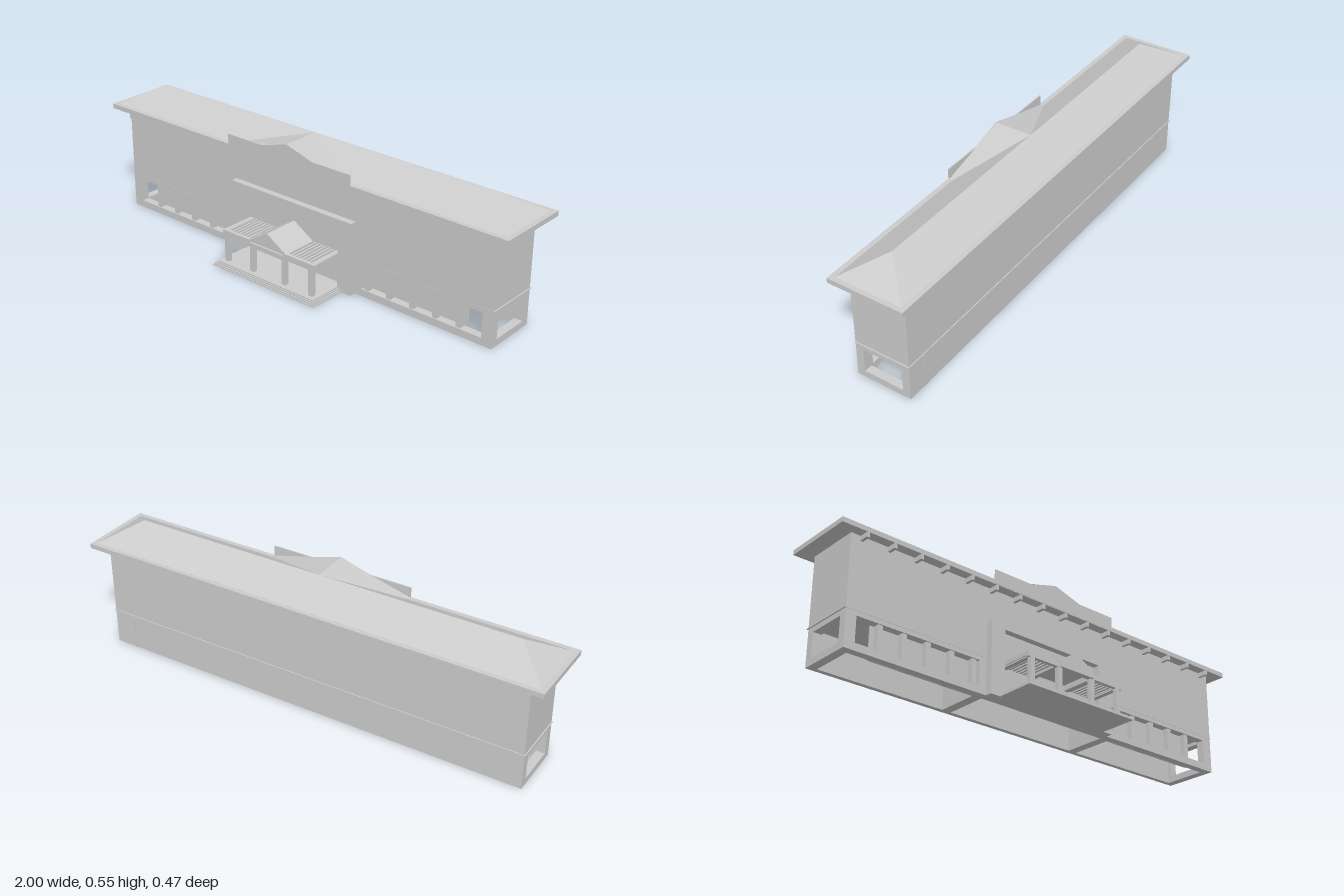
import * as THREE from 'three';

const mat = new THREE.MeshStandardMaterial({ color: 0xcccccc, flatShading: true, side: THREE.DoubleSide });

export function createModel() {
  const root = new THREE.Group();
  root.name = 'building';

  const add = (name, geo) => {
    const m = new THREE.Mesh(geo, mat);
    m.name = name;
    root.add(m);
    return m;
  };
  // box given by its limits on each axis
  const box = (name, x0, x1, y0, y1, z0, z1) => {
    const g = new THREE.BoxGeometry(x1 - x0, y1 - y0, z1 - z0);
    g.translate((x0 + x1) / 2, (y0 + y1) / 2, (z0 + z1) / 2);
    return add(name, g);
  };
  const path = (pts, Type = THREE.Shape) => new Type(pts.map(p => new THREE.Vector2(...p)));
  const rect = (a, b, c, d) => [[a, c], [b, c], [b, d], [a, d]];
  const slab = (pts, holes, depth) => {
    const s = path(pts);
    s.holes = holes.map(h => path(h, THREE.Path));
    return new THREE.ExtrudeGeometry(s, { depth, bevelEnabled: false });
  };
  // triangles or quads from corner lists
  const faces = (name, polys) => {
    const pos = [];
    for (const p of polys)
      for (let i = 1; i < p.length - 1; i++) pos.push(...p[0], ...p[i], ...p[i + 1]);
    const g = new THREE.BufferGeometry();
    g.setAttribute('position', new THREE.Float32BufferAttribute(pos, 3));
    g.computeVertexNormals();
    return add(name, g);
  };

  const W = 0.935, F = 0.043, B = -0.193, S = 0.145;

  // upper storey, its underside is the gallery ceiling
  box('upperStorey', -W, W, S, 0.45, B, F);
  box('stringCourse', -0.94, 0.94, 0.151, 0.154, -0.197, F + 0.001);

  // ground floor: pierced front and end walls, plain back wall, open below
  add('frontArcadeWall', slab(rect(-W, W, 0, S),
    [rect(-0.89, -0.342, 0.03, 0.133), rect(0.342, 0.89, 0.03, 0.133)], 0.033)).position.z = 0.01;
  box('backWall', -W, W, 0, S, B, B + 0.02);
  box('backPilaster', 0.84, 0.85, 0, 0.135, B - 0.002, B);
  for (const s of [-1, 1]) {
    const end = slab(rect(B, F, 0, S), [rect(-0.16, 0.01, 0.027, 0.13)], 0.035);
    end.rotateY(-Math.PI / 2);
    add('endWall', end).position.x = s > 0 ? W : -W + 0.035;
    const mx = (name, a, b, ...rest) => box(name, Math.min(s * a, s * b), Math.max(s * a, s * b), ...rest);
    mx('partition', 0.305, 0.345, 0, S, B, 0.012);
    mx('recessedWall', 0.34, 0.81, 0, S, 0.004, 0.009);
    for (const x of [0.365, 0.468, 0.576, 0.682, 0.786])
      mx('arcadePillar', x - 0.01, x + 0.01, 0.03, 0.134, 0.015, 0.038);
  }

  // eaves with brackets along the front
  box('eaves', -1, 1, 0.447, 0.467, -0.235, 0.085);
  for (let i = 0; i < 8; i++)
    for (const s of [-1, 1]) {
      const x = s * 0.0593 * (2 * i + 1);
      box('eaveBracket', x - 0.006, x + 0.006, 0.427, 0.448, F, 0.084);
    }

  // hipped roof
  const y0 = 0.467, y1 = 0.548, zr = -0.075;
  const a = [-0.98, y0, 0.065], b = [0.98, y0, 0.065], c = [0.98, y0, -0.215], d = [-0.98, y0, -0.215];
  const l = [-0.84, y1, zr], r = [0.84, y1, zr];
  faces('hippedRoof', [[a, b, r, l], [c, d, l, r], [b, c, r], [d, a, l]]);

  // front cross gable and its stepped parapet
  const peak = [0, y1, 0.08], back = [0, y1, zr];
  faces('crossGableRoof', [
    [[-0.31, y0, 0.08], peak, back, [-0.31, y0, 0.06]],
    [[0.31, y0, 0.08], [0.31, y0, 0.06], back, peak],
  ]);
  add('parapet', slab([[-0.31, 0.45], [0.31, 0.45], [0.31, 0.51], [0.13, 0.51], [0, y1],
    [-0.13, 0.51], [-0.31, 0.51]], [], 0.005)).position.z = 0.081;

  // projecting surround of the entrance
  add('entranceSurround', slab([[-0.31, 0], [-0.245, 0], [-0.245, 0.28], [0.245, 0.28], [0.245, 0],
    [0.31, 0], [0.31, 0.305], [-0.31, 0.305]], [], 0.029)).position.z = 0.042;

  // porch steps
  for (let i = 0; i < 4; i++)
    box('porchStep', -0.265 + i * 0.005, 0.265 - i * 0.005, i * 0.005, (i + 1) * 0.005, F, 0.235 - i * 0.005);

  // porch columns and beams
  for (const x of [-0.22, -0.083, 0.083, 0.22])
    box('porchColumn', x - 0.01, x + 0.01, 0.02, 0.132, 0.182, 0.2);
  box('porchFrontBeam', -0.24, 0.24, 0.13, 0.155, 0.185, 0.2);
  for (const x of [-0.225, -0.09, 0.09, 0.225])
    box('porchSideBeam', x - 0.01, x + 0.01, 0.13, 0.155, F, 0.2);
  box('porchSignBeam', -0.085, 0.085, 0.13, 0.15, 0.2, 0.208);

  // pergola slats on both sides of the porch gable
  for (const s of [-1, 1])
    for (let i = 0; i < 8; i++) {
      const x = s * (0.112 + i * 0.0175);
      box('pergolaSlat', x - 0.004, x + 0.004, 0.136, 0.154, F, 0.19);
    }

  // porch gable
  add('porchGable', slab([[-0.1, 0.153], [0.1, 0.153], [0, 0.213]], [], 0.158)).position.z = F;

  return root;
}
